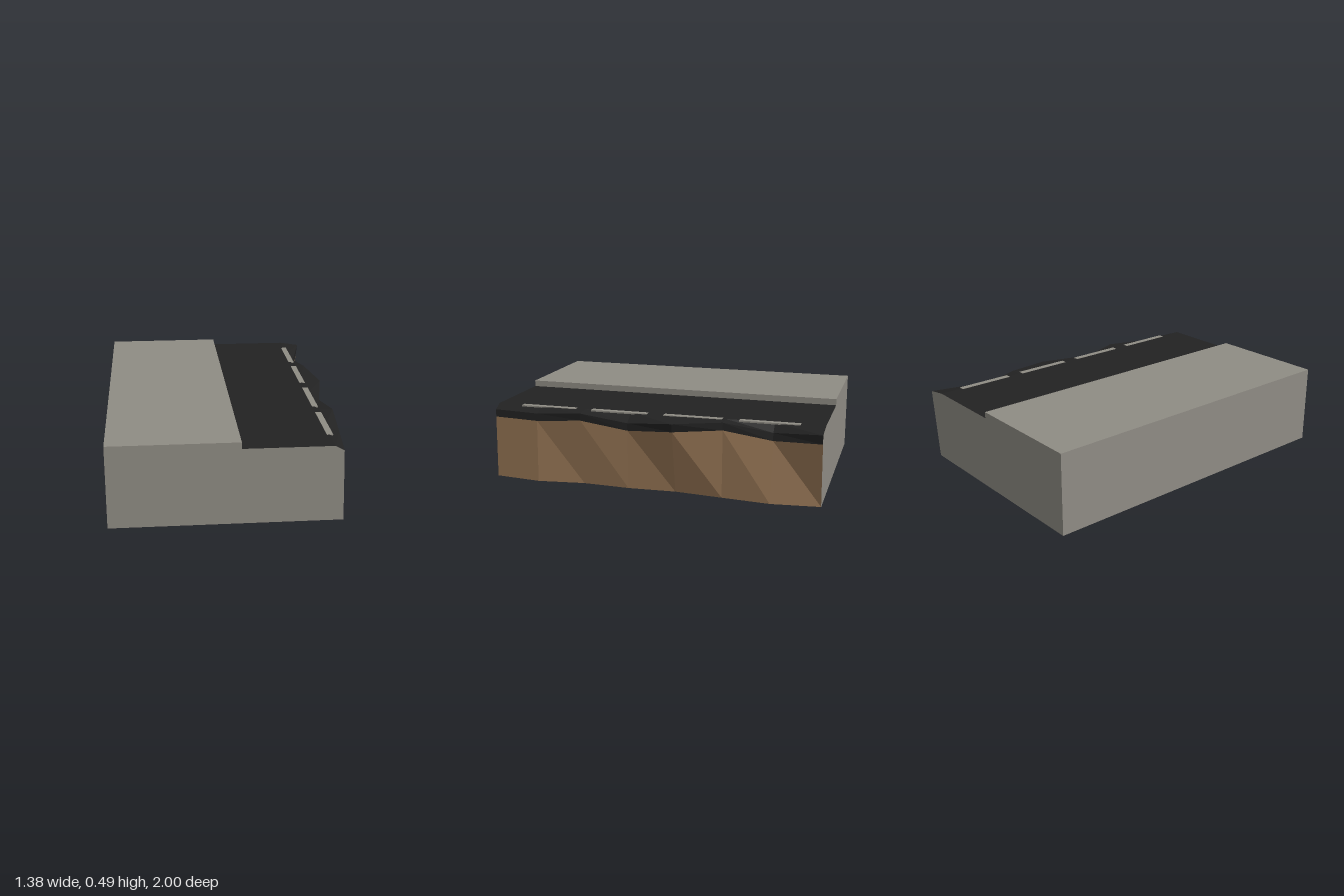
import * as THREE from 'three';

// Each station along the road: [z, rimX, rimY, lipX, lipY, baseX]
const stations = [
  [1, 0.605, 0.42, 0.607, 0.375, 0.62],
  [0.714, 0.635, 0.42, 0.637, 0.375, 0.65],
  [0.429, 0.655, 0.445, 0.65, 0.4, 0.612],
  [0.143, 0.63, 0.4, 0.63, 0.355, 0.625],
  [-0.143, 0.69, 0.43, 0.68, 0.38, 0.61],
  [-0.429, 0.63, 0.445, 0.632, 0.4, 0.638],
  [-0.714, 0.605, 0.4, 0.612, 0.355, 0.665],
  [-1, 0.682, 0.428, 0.677, 0.375, 0.635],
];

const LEFT = -0.69, CURB = 0.045, WALK_Y = 0.486, ROAD_Y = 0.448, CROWN = 0.555;

// Closed cross-section, clockwise seen from the front
const profile = ([, rimX, rimY, lipX, lipY, baseX]) => [
  [baseX, 0], [LEFT, 0], [LEFT, WALK_Y], [CURB, WALK_Y], [CURB, ROAD_Y],
  [CROWN, ROAD_Y], [rimX, rimY], [lipX, lipY],
];

// Flat-shaded loft of profile edges first..last along all stations
function loft(first, last) {
  const pos = [];
  for (let s = 0; s < stations.length - 1; s++) {
    const p0 = profile(stations[s]), p1 = profile(stations[s + 1]);
    const z0 = stations[s][0], z1 = stations[s + 1][0];
    for (let k = first; k <= last; k++) {
      const n = (k + 1) % p0.length;
      const a0 = [...p0[k], z0], b0 = [...p0[n], z0];
      const a1 = [...p1[k], z1], b1 = [...p1[n], z1];
      pos.push(...a0, ...b0, ...b1, ...a0, ...b1, ...a1);
    }
  }
  const g = new THREE.BufferGeometry();
  g.setAttribute('position', new THREE.Float32BufferAttribute(pos, 3));
  g.computeVertexNormals();
  return g;
}

// Flat end wall; the back one is drawn mirrored and then turned round
function endCap(station, back) {
  const sign = back ? -1 : 1;
  const shape = new THREE.Shape(profile(station).map(([x, y]) => new THREE.Vector2(sign * x, y)));
  const g = new THREE.ShapeGeometry(shape);
  if (back) g.rotateY(Math.PI);
  return g.translate(0, 0, station[0]);
}

export function createModel() {
  const concrete = new THREE.MeshStandardMaterial({ color: 0x8f8c84 });
  concrete.name = 'concrete';
  const asphalt = new THREE.MeshStandardMaterial({ color: 0x222222 });
  asphalt.name = 'asphalt';
  const earth = new THREE.MeshStandardMaterial({ color: 0x937353 });
  earth.name = 'earth';

  const model = new THREE.Group();
  model.name = 'roadEdge';
  const add = (name, geometry, material) => {
    const mesh = new THREE.Mesh(geometry, material);
    mesh.name = name;
    model.add(mesh);
    return mesh;
  };

  // Base, pavement and curb, then road surface with broken edge, then earth bank
  add('pavementAndBase', loft(0, 3), concrete);
  add('roadSurface', loft(4, 6), asphalt);
  add('earthBank', loft(7, 7), earth);
  add('frontEnd', endCap(stations[0], false), concrete);
  add('backEnd', endCap(stations[stations.length - 1], true), concrete);

  // Dashed lane marking
  for (let i = 0; i < 4; i++) {
    const dash = add('laneDash', new THREE.BoxGeometry(0.036, 0.009, 0.35), concrete);
    dash.position.set(0.556, 0.4455, 0.665 - i * 0.45);
  }
  return model;
}
